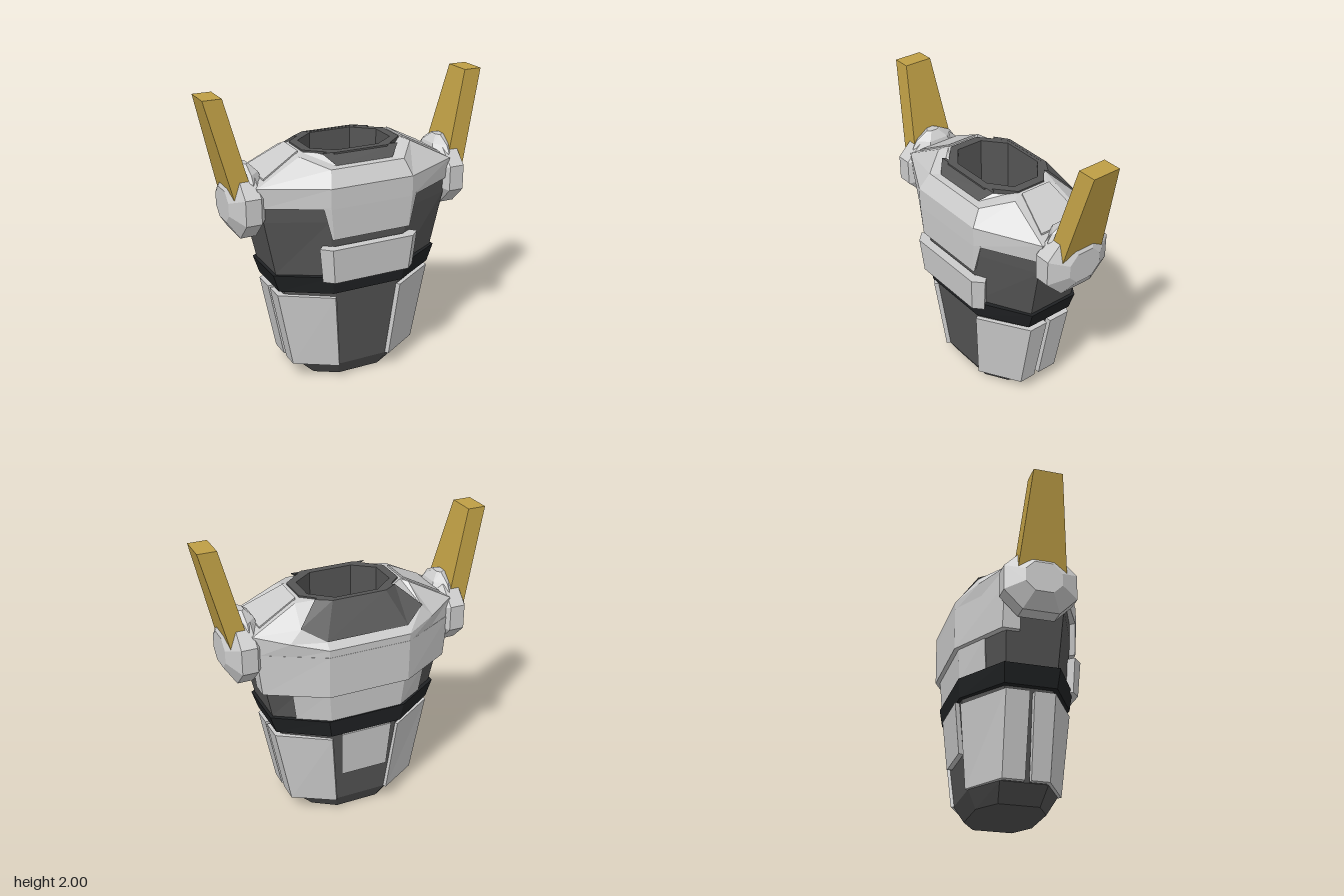
import * as THREE from 'three';

const mat = (color) => new THREE.MeshStandardMaterial({ color, flatShading: true });

// Mirror a row of points across x, keeping its direction of travel
const mx = (pts) => pts.map(([x, y, z]) => [-x, y, z]).reverse();
// Closed ring from its +x half (front to back)
const ring = (half) => [...half, ...mx(half)];
const level = (y, pts) => pts.map(([x, z]) => [x, y, z]);
const scaleXZ = (pts, s) => pts.map(([x, y, z]) => [x * s, y, z * s]);

// Skin a list of closed rings, optionally capping either end
function loft(rings, capStart = true, capEnd = true) {
  const pos = [];
  const quad = (a, b, c, d) => pos.push(...a, ...b, ...c, ...a, ...c, ...d);
  const n = rings[0].length;
  for (let r = 0; r < rings.length - 1; r++) {
    for (let i = 0; i < n; i++) {
      const j = (i + 1) % n;
      quad(rings[r][i], rings[r][j], rings[r + 1][j], rings[r + 1][i]);
    }
  }
  const cap = (p, up) => {
    for (let i = 0; i < n / 2 - 1; i++) {
      const q = [p[i], p[i + 1], p[n - 2 - i], p[n - 1 - i]];
      quad(...(up ? q : q.reverse()));
    }
  };
  if (capStart) cap(rings[0], false);
  if (capEnd) cap(rings[rings.length - 1], true);
  const g = new THREE.BufferGeometry();
  g.setAttribute('position', new THREE.Float32BufferAttribute(pos, 3));
  g.computeVertexNormals();
  return g;
}

// Closed sections of a curved armour plate, from its outer rows
const plate = (rows, s = 0.92) => rows.map((row) => [...row, ...scaleXZ(row, s).reverse()]);
const acrossFront = (half) => [...mx(half), ...half];

export function createModel() {
  const model = new THREE.Group();
  const light = mat(0xcccccc);
  const dark = mat(0x555555);
  const black = mat(0x202224);
  const gold = mat(0xbf9f45);

  const add = (name, material, geometry) => {
    const m = new THREE.Mesh(geometry, material);
    m.name = name;
    model.add(m);
  };
  const addPair = (name, material, rings) => {
    add(name + 'Left', material, loft(rings));
    add(name + 'Right', material, loft(rings.map(mx)));
  };

  // Tapered inner body, open at the top
  add('innerBody', dark, loft([
    ring(level(0, [[0.15, 0.22], [0.3, 0.13], [0.3, -0.14], [0.15, -0.24]])),
    ring(level(0.11, [[0.19, 0.285], [0.41, 0.15], [0.41, -0.16], [0.19, -0.3]])),
    ring(level(0.69, [[0.23, 0.34], [0.52, 0.155], [0.52, -0.16], [0.23, -0.36]])),
    ring(level(0.82, [[0.25, 0.35], [0.58, 0.17], [0.58, -0.17], [0.25, -0.37]])),
    ring(level(1.2, [[0.28, 0.365], [0.66, 0.19], [0.66, -0.19], [0.28, -0.375]])),
    ring(level(1.35, [[0.28, 0.37], [0.67, 0.19], [0.67, -0.19], [0.28, -0.375]])),
  ], true, false));

  // Flared belt, a hollow band
  const beltLow = ring(level(0.69, [[0.25, 0.36], [0.56, 0.17], [0.56, -0.175], [0.25, -0.38]]));
  const beltHigh = ring(level(0.815, [[0.27, 0.375], [0.6, 0.18], [0.6, -0.185], [0.27, -0.395]]));
  add('belt', black, loft([scaleXZ(beltLow, 0.88), beltLow, beltHigh, scaleXZ(beltHigh, 0.88)], false, false));

  // Waist plates wrapping the four corners
  addPair('frontWaistPlate', light, plate([
    level(0.11, [[0.19, 0.31], [0.46, 0.145], [0.46, 0.025]]),
    level(0.655, [[0.24, 0.362], [0.565, 0.157], [0.565, 0.02]]),
  ]));
  addPair('backWaistPlate', light, plate([
    level(0.11, [[0.46, -0.015], [0.46, -0.16], [0.19, -0.32]]),
    level(0.655, [[0.565, -0.01], [0.565, -0.165], [0.24, -0.372]]),
  ]));
  add('tailPlate', light, loft(plate([
    ring(level(0.35, [[0.165, -0.358]])),
    ring(level(0.69, [[0.18, -0.392]])),
  ], 0.9)));

  // Belly plate and chest drop
  add('bellyPlate', light, loft(plate([
    acrossFront(level(0.79, [[0.27, 0.415], [0.33, 0.36]])),
    acrossFront(level(1.03, [[0.29, 0.432], [0.355, 0.37]])),
  ], 0.86)));
  add('chestPlate', light, loft(plate([
    acrossFront(level(1.09, [[0.27, 0.405], [0.28, 0.4]])),
    acrossFront(level(1.31, [[0.29, 0.411], [0.335, 0.388]])),
  ], 0.88)));

  // Back plates below the yoke
  add('lowerBackPlate', light, loft(plate([
    ring(level(0.81, [[0.45, -0.265], [0.25, -0.385]])),
    ring(level(1.03, [[0.48, -0.28], [0.27, -0.4]])),
  ])));
  add('upperBackPlate', light, loft(plate([
    ring(level(1.02, [[0.655, -0.1], [0.655, -0.215], [0.28, -0.428]])),
    ring(level(1.31, [[0.685, -0.1], [0.685, -0.21], [0.28, -0.432]])),
  ])));

  // Yoke: shoulders, chest bevel and back lip
  const yokeBase = ring(level(1.3, [[0.29, 0.411], [0.68, 0.2], [0.68, -0.21], [0.48, -0.32], [0.28, -0.43]]));
  add('yoke', light, loft([
    scaleXZ(yokeBase, 0.88),
    yokeBase,
    ring([[0.29, 1.435, 0.411], [0.7, 1.435, 0.2], [0.7, 1.435, -0.2], [0.5, 1.4, -0.325], [0.28, 1.36, -0.432]]),
    ring([[0.26, 1.538, 0.343], [0.4, 1.592, 0.17], [0.4, 1.592, -0.16], [0.42, 1.48, -0.31], [0.28, 1.4, -0.39]]),
    ring([[0.2, 1.54, 0.29], [0.36, 1.602, 0.12], [0.36, 1.602, -0.12], [0.27, 1.604, -0.19], [0.18, 1.605, -0.25]]),
    ring(level(1.6, [[0.17, 0.23], [0.33, 0.1], [0.33, -0.1], [0.25, -0.16], [0.16, -0.24]])),
  ], false, false));
  addPair('shoulderPad', light, [0.04, 0].map((d) => [
    [0.38, 1.612 - d, 0.1], [0.64, 1.478 - d, 0.16],
    [0.64, 1.478 - d, -0.16], [0.38, 1.612 - d, -0.12],
  ]));

  // Dark neck guards, front notch and sloping back
  add('frontNeckGuard', dark, loft(plate([
    acrossFront([[0.2, 1.543, 0.297]]),
    acrossFront([[0.27, 1.612, 0.235]]),
  ])));
  add('backNeckGuard', dark, loft(plate([
    ring([[0.425, 1.487, -0.314], [0.28, 1.406, -0.396]]),
    ring([[0.28, 1.612, -0.2], [0.185, 1.614, -0.262]]),
  ])));

  // Collar rim with the neck well running down inside
  const rim = [[0.19, 0.245], [0.35, 0.105], [0.35, -0.105], [0.18, -0.255]];
  const well = [[0.15, 0.195], [0.29, 0.09], [0.29, -0.1], [0.15, -0.22]];
  add('collar', dark, loft([
    ring(level(1.57, rim)), ring(level(1.612, rim)),
    ring(level(1.612, well)), ring(level(1.1, well)),
  ], false, false));

  // Faceted shoulder knobs, skinned along x
  const octagon = [[0.205, 0.12], [0.085, 0.24], [-0.085, 0.24], [-0.205, 0.12],
    [-0.205, -0.12], [-0.085, -0.24], [0.085, -0.24], [0.205, -0.12]];
  addPair('shoulderKnob', light, [[0.62, 0.7], [0.685, 1], [0.79, 1], [0.86, 0.5]].map(([x, s]) =>
    octagon.map(([y, z]) => [x, 1.295 + y * s, z * s - 0.005])));

  // Small cap at the inner foot of each horn
  addPair('hornCap', light, [[1.38, 0.625, 0.8, 0.17], [1.46, 0.625, 0.8, 0.17],
    [1.505, 0.64, 0.78, 0.14], [1.555, 0.69, 0.745, 0.05]].map(([y, a, b, z]) =>
    level(y, [[a, z * 0.5], [0.71, z], [b, z * 0.5], [b, -z * 0.5], [0.71, -z], [a, -z * 0.5]])));

  // Tapered horns leaning outward
  addPair('horn', gold, [
    level(1.35, [[0.7, 0.155], [0.83, 0.155], [0.83, -0.165], [0.7, -0.165]]),
    level(2, [[0.86, 0.09], [0.985, 0.09], [0.985, -0.105], [0.86, -0.105]]),
  ]);

  return model;
}
